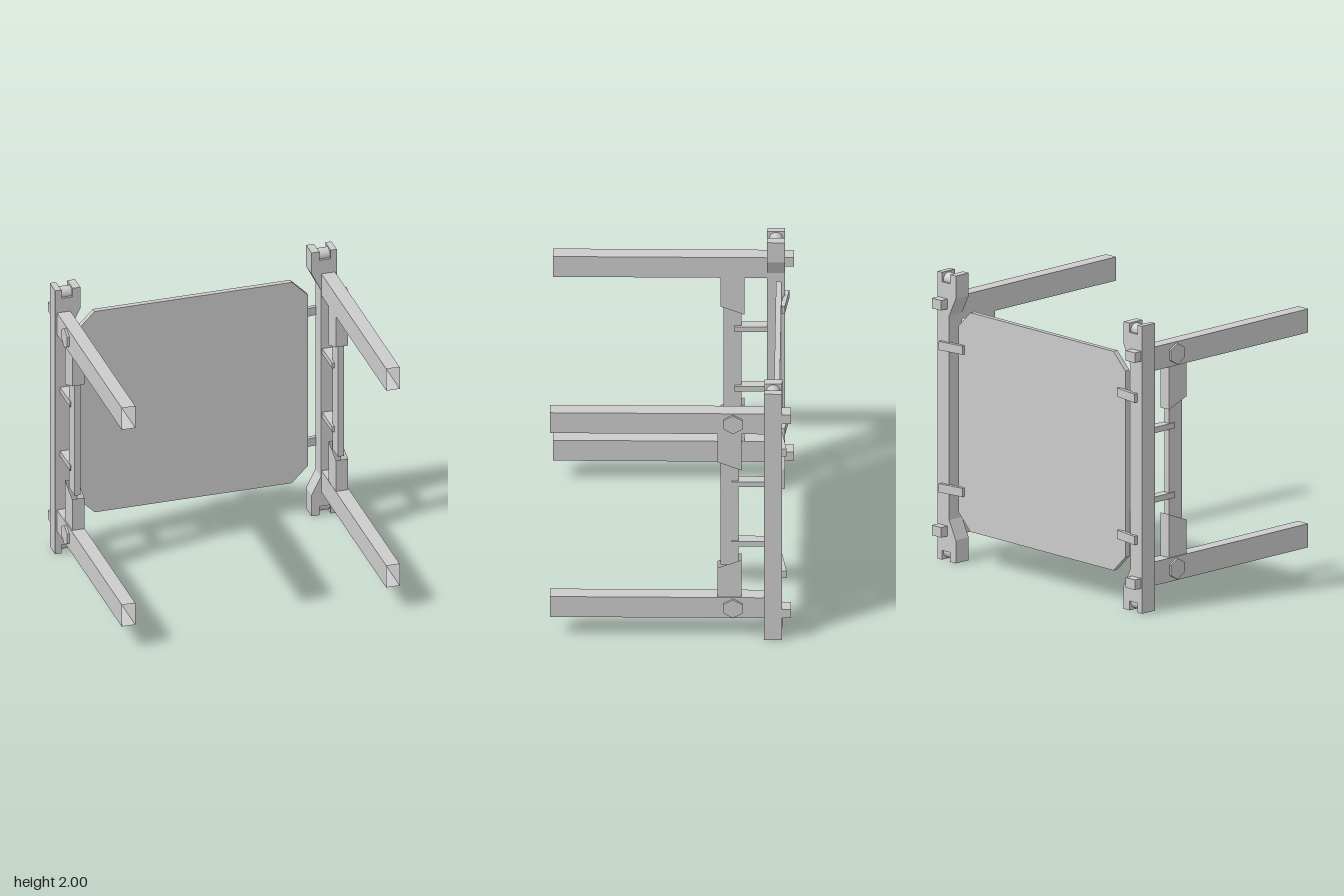
import * as THREE from 'three';

const grey = new THREE.MeshStandardMaterial({ color: 0xcccccc, flatShading: true });
const smooth = new THREE.MeshStandardMaterial({ color: 0xcccccc });
const open = new THREE.MeshStandardMaterial({ color: 0xcccccc, flatShading: true, side: THREE.DoubleSide });

function add(group, name, geometry, material = grey) {
  const mesh = new THREE.Mesh(geometry, material);
  mesh.name = name;
  group.add(mesh);
  return mesh;
}

// Box given by its limits on each axis
function box(group, name, [x0, x1], [y0, y1], [z0, z1]) {
  const g = new THREE.BoxGeometry(Math.abs(x1 - x0), y1 - y0, z1 - z0);
  g.translate((x0 + x1) / 2, (y0 + y1) / 2, (z0 + z1) / 2);
  return add(group, name, g);
}

// Flat outline extruded between two z values
function plate(points, z0, z1) {
  const shape = new THREE.Shape(points.map(([x, y]) => new THREE.Vector2(x, y)));
  return new THREE.ExtrudeGeometry(shape, { depth: z1 - z0, bevelEnabled: false }).translate(0, 0, z0);
}

// Thin open sleeve joining two four-cornered loops
function sleeve(a, b) {
  const index = [];
  for (let i = 0; i < 4; i++) {
    const j = (i + 1) % 4;
    index.push(i, j, 4 + j, i, 4 + j, 4 + i);
  }
  const g = new THREE.BufferGeometry();
  g.setAttribute('position', new THREE.Float32BufferAttribute([...a, ...b].flat(), 3));
  g.setIndex(index);
  const flat = g.toNonIndexed();
  flat.computeVertexNormals();
  return flat;
}

function createSide(s) {
  const side = new THREE.Group();
  side.name = s > 0 ? 'leftSide' : 'rightSide';

  // Post outline with flared ends and a slot at the top and bottom
  const half = [[0.88, 1.71], [0.815, 1.84], [0.815, 2], [0.87, 2], [0.87, 1.935],
    [0.95, 1.935], [0.95, 2], [0.993, 2]];
  const outline = [...half, ...half.map(([x, y]) => [x, 2 - y]).reverse()];
  add(side, 'post', plate(outline.map(([x, y]) => [s * x, y]), -0.75, -0.63));

  for (const up of [1, -1]) {
    const Y = (y) => (up > 0 ? y : 2 - y);
    const span = (a, b) => (up > 0 ? [a, b] : [2 - b, 2 - a]);
    const tag = up > 0 ? 'upper' : 'lower';

    // Round pin in the slot
    const pin = new THREE.CylinderGeometry(0.045, 0.045, 0.08, 24).rotateZ(Math.PI / 2);
    add(side, tag + 'SlotPin', pin.translate(s * 0.91, Y(1.947), -0.69), smooth);

    // Hollow arm, open at the front
    const ring = (z) => [[s * 0.885, 1.665], [s * 0.98, 1.665], [s * 0.98, 1.83], [s * 0.885, 1.83]]
      .map(([x, y]) => [x, Y(y), z]);
    add(side, tag + 'Arm', sleeve(ring(-0.63), ring(0.81)), open);

    // Hollow bracket with a slanted open end
    const corners = [[0.887, -0.315], [0.972, -0.315], [0.972, -0.477], [0.887, -0.477]];
    const cut = corners.map(([x, z]) => [s * x, Y(z > -0.4 ? 1.43 : 1.365), z]);
    const root = corners.map(([x, z]) => [s * x, Y(1.68), z]);
    add(side, tag + 'Bracket', sleeve(cut, root), open);

    // Hexagonal bolt head on the outer face of the arm
    const bolt = new THREE.CylinderGeometry(0.073, 0.073, 0.025, 6).rotateY(Math.PI / 2);
    bolt.rotateZ(Math.PI / 2);
    // turn a corner of the hexagon upward
    bolt.rotateX(0);
    add(side, tag + 'Bolt', bolt.translate(s * 0.983, Y(1.748), -0.42));

    // Tab tying the rod to the post
    box(side, tag + 'Tab', [s * 0.89, s * 0.958], span(1.222, 1.262), [-0.64, -0.41]);

    // Peg on the back of the post
    box(side, tag + 'Peg', [s * 0.895, s * 0.985], span(1.755, 1.825), [-0.81, -0.74]);

    // Slanted clip from the post over the edge of the panel
    const clip = plate([[0.75, 0.725], [0.95, 0.745], [0.95, 0.78], [0.75, 0.75]]
      .map(([x, z]) => [s * x, z]), -0.03, 0.03);
    add(side, tag + 'Clip', clip.rotateX(-Math.PI / 2).translate(0, Y(1.495), 0));
  }

  // Flat rod between the two brackets
  box(side, 'rod', [s * 0.907, s * 0.95], [0.585, 1.42], [-0.457, -0.335]);
  return side;
}

export function createModel() {
  const model = new THREE.Group();
  model.name = 'frameWithPanel';
  model.add(createSide(1), createSide(-1));

  // Back panel with cut corners
  const corner = [[0.81, 1.65], [0.695, 1.765]];
  const top = [...corner, ...corner.map(([x, y]) => [-x, y]).reverse()];
  const panel = [...top, ...top.map(([x, y]) => [x, 2.005 - y]).reverse()];
  add(model, 'panel', plate(panel, -0.73, -0.692));
  return model;
}
